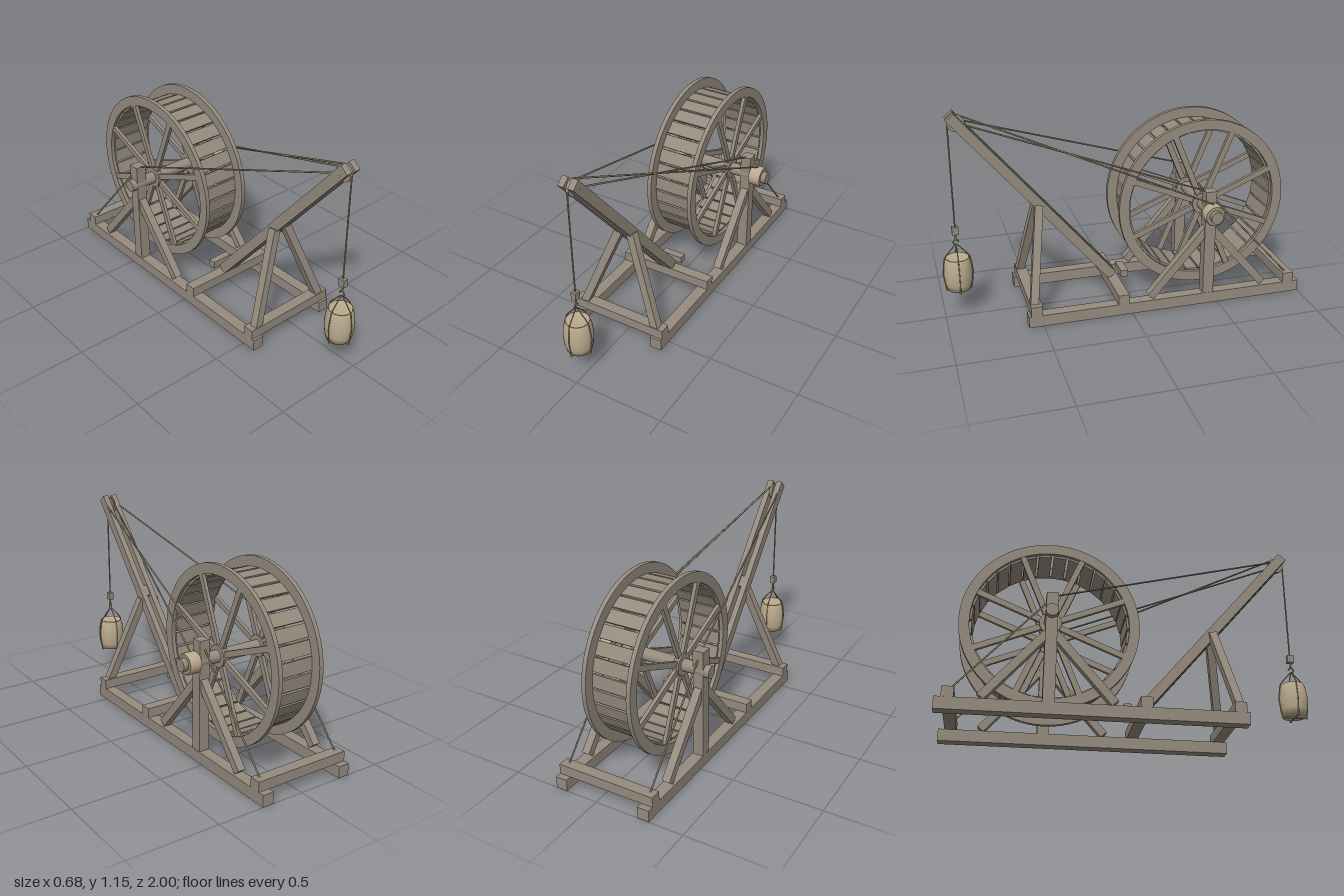
import * as THREE from 'three';

export function createModel() {
  const root = new THREE.Group();
  root.name = 'treadwheelCrane';
  const mat = (name, color) => Object.assign(new THREE.MeshStandardMaterial({ color }), { name });
  const wood = mat('weathered wood', 0x958b7e);
  const tan = mat('pale cask wood', 0xbbaa8d);
  const ropeMat = mat('rope', 0x94886f);
  const slingMat = mat('sling rope', 0xa0916a);
  const V = (x, y, z) => new THREE.Vector3(x, y, z);
  const CX = -0.033;                 // centre line of the frame
  const AY = 0.56, AZ = -0.443;      // wheel axle

  function add(name, geo, material, x = 0, y = 0, z = 0, parent = root) {
    const m = new THREE.Mesh(geo, material);
    m.name = name;
    m.position.set(x, y, z);
    parent.add(m);
    return m;
  }
  const box = (name, w, h, d, x, y, z, parent) =>
    add(name, new THREE.BoxGeometry(w, h, d), wood, x, y, z, parent);

  // squared timber between two points
  function beam(name, a, b, w, h, up = V(0, 1, 0)) {
    const mid = a.clone().add(b).multiplyScalar(0.5);
    const m = box(name, w, h, a.distanceTo(b), mid.x, mid.y, mid.z);
    m.up.copy(up);
    m.lookAt(b);
    return m;
  }
  // straight rope between two points
  const rope = (name, a, b, r = 0.0045) =>
    add(name, new THREE.TubeGeometry(new THREE.LineCurve3(a, b), 1, r, 16), ropeMat);
  // cylinder lying along x
  const xCylinder = (name, r, len, x, y, z, sides = 28) =>
    add(name, new THREE.CylinderGeometry(r, r, len, sides).rotateZ(Math.PI / 2), wood, x, y, z);

  // base frame
  for (const z of [0.535, 0.05, -0.935]) box('crossBeam', 0.555, 0.056, 0.062, CX, 0.092, z);
  box('footBlock', 0.125, 0.038, 0.042, CX, 0.14, -0.015);
  for (const s of [-1, 1]) {
    const x = CX + s * 0.245;
    box('runner', 0.064, 0.065, 1.58, x, 0.0325, -0.21);
    box('axlePost', 0.06, 0.61, 0.062, x, 0.37, AZ);
    for (const d of [-1, 1])
      beam('postBrace', V(x, 0.08, AZ + d * 0.335), V(x, 0.455, AZ + d * 0.012), 0.044, 0.044);
  }

  // treadwheel: rims, spokes, hubs, treads
  const wheel = new THREE.Group();
  wheel.name = 'treadwheel';
  wheel.position.set(CX, AY, AZ);
  root.add(wheel);
  const ring = new THREE.Shape().absarc(0, 0, 0.48, 0, Math.PI * 2, false);
  ring.holes.push(new THREE.Path().absarc(0, 0, 0.424, 0, Math.PI * 2, true));
  const rimGeo = new THREE.ExtrudeGeometry(ring, { depth: 0.024, bevelEnabled: false, curveSegments: 48 });
  rimGeo.translate(0, 0, -0.012).rotateY(Math.PI / 2);
  const hubGeo = new THREE.CylinderGeometry(0.06, 0.06, 0.034, 24).rotateZ(Math.PI / 2);
  for (const s of [-1, 1]) {
    add('wheelRim', rimGeo, wood, s * 0.128, 0, 0, wheel);
    add('wheelHub', hubGeo, wood, s * 0.13, 0, 0, wheel);
    for (let i = 0; i < 8; i++) {
      const a = (i + 0.5) * Math.PI / 4;
      const spoke = box('spoke', 0.02, 0.4, 0.032, s * 0.128, Math.cos(a) * 0.23, Math.sin(a) * 0.23, wheel);
      spoke.rotation.x = a;
    }
  }
  const TREADS = 32;
  for (let i = 0; i < TREADS; i++) {
    const a = (i + 0.5) * 2 * Math.PI / TREADS;
    const t = box('tread', 0.24, 0.012, 0.071, 0, Math.cos(a) * 0.418, Math.sin(a) * 0.418, wheel);
    t.rotation.x = a;
  }

  // axle and rope drum: wound rope between wooden end discs
  xCylinder('axle', 0.034, 0.68, 0, AY, AZ);
  const drum = [[0.053, -0.034], [0.057, -0.029], [0.057, 0.029], [0.053, 0.034]]
    .map(p => new THREE.Vector2(...p));
  add('ropeDrum', new THREE.LatheGeometry(drum, 28).rotateZ(Math.PI / 2), tan, 0.278, AY, AZ);
  xCylinder('drumEnds', 0.0535, 0.068, 0.278, AY, AZ);

  // boom of two timbers with spacers and its splayed legs
  for (const s of [-1, 1]) {
    beam('boomTimber', V(CX + s * 0.028, 0.13, 0.052), V(CX + s * 0.028, 1.137, 0.902), 0.033, 0.055);
    beam('boomLeg', V(CX + s * 0.23, 0.1, 0.543), V(CX + s * 0.036, 0.605, 0.462), 0.044, 0.044, V(0, 0, 1));
  }
  for (const t of [0.13, 0.48])
    beam('boomSpacer', V(CX, 0.13 + 1.007 * t, 0.052 + 0.85 * t),
      V(CX, 0.13 + 1.007 * (t + 0.05), 0.052 + 0.85 * (t + 0.05)), 0.026, 0.04);
  xCylinder('boomPulley', 0.045, 0.016, CX, 1.095, 0.868);
  xCylinder('pulleyPin', 0.01, 0.09, CX, 1.095, 0.868, 16);

  // stays and hoisting rope
  for (const s of [-1, 1]) {
    const top = V(CX + s * 0.243, 0.668, AZ + 0.01);
    rope('frontStay', V(CX + s * 0.038, 1.1, 0.85), top);
    rope('backStay', top, V(CX + s * 0.243, 0.115, -0.93));
  }
  rope('hoistRope', V(CX, 1.138, 0.86), V(0.278, AY + 0.058, AZ));
  rope('dropRope', V(CX, 1.095, 0.913), V(CX, 0.51, 0.913), 0.004);

  // hook block
  const LZ = 0.913;
  box('hookBlock', 0.028, 0.044, 0.036, CX, 0.498, LZ);
  rope('hookShank', V(CX, 0.48, LZ), V(CX, 0.445, LZ), 0.005);
  add('hook', new THREE.TorusGeometry(0.014, 0.004, 14, 20, Math.PI * 1.6).rotateY(Math.PI / 2), ropeMat, CX, 0.43, LZ);

  // cask with its slings
  const cask = [[0, 0.155], [0.064, 0.155], [0.073, 0.19], [0.079, 0.247], [0.073, 0.305], [0.064, 0.34],
    [0.06, 0.34], [0.058, 0.333], [0, 0.333]].map(p => new THREE.Vector2(...p));
  add('cask', new THREE.LatheGeometry(cask, 32), tan, CX, 0, LZ);
  const sling = [[0.004, 0.418], [0.068, 0.342], [0.0815, 0.25], [0.067, 0.152], [0, 0.152]];
  for (let i = 0; i < 4; i++) {
    const c = Math.cos(i * Math.PI / 2), s = Math.sin(i * Math.PI / 2);
    const path = new THREE.CatmullRomCurve3(sling.map(([r, y]) => V(CX + r * c, y, LZ + r * s)), false, 'catmullrom', 0.15);
    add('caskSling', new THREE.TubeGeometry(path, 32, 0.003, 14), slingMat);
    add('slingKnot', new THREE.SphereGeometry(0.007, 14, 10), slingMat, CX + 0.067 * c, 0.152, LZ + 0.067 * s);
  }
  return root;
}
